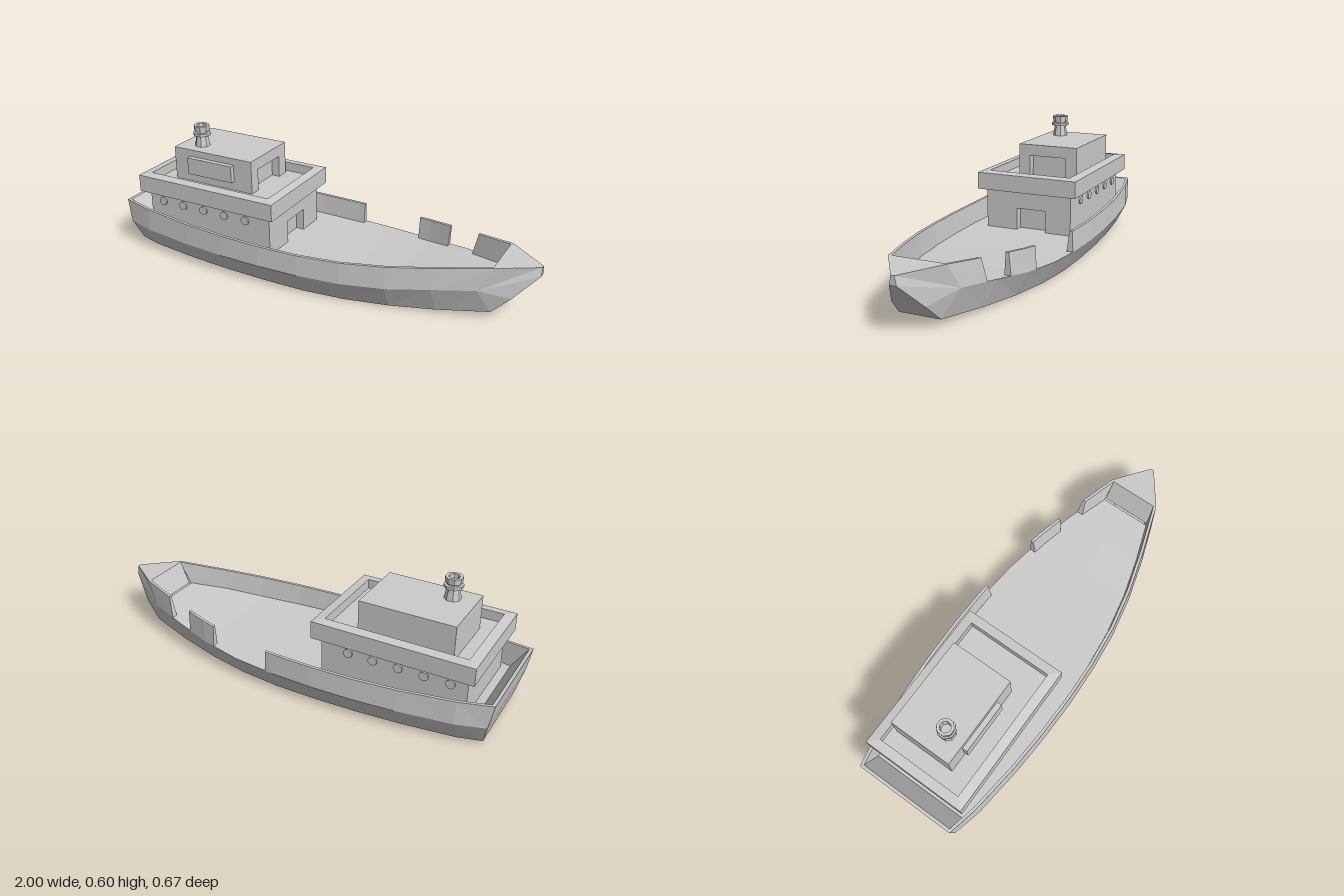
import * as THREE from 'three';

const mat = new THREE.MeshStandardMaterial({ color: 0xcccccc, flatShading: true, side: THREE.DoubleSide });

// Hull stations: top x, half width, y | knuckle x, half width, y | bottom x, half width, y
const STATIONS = [
  [-1, 0.25, 0.23, -0.98, 0.255, 0.12, -0.955, 0.21, 0.018],
  [-0.85, 0.282, 0.22, -0.85, 0.287, 0.113, -0.85, 0.235, 0.014],
  [-0.6, 0.311, 0.208, -0.6, 0.316, 0.107, -0.6, 0.26, 0.008],
  [-0.4, 0.324, 0.203, -0.4, 0.329, 0.104, -0.4, 0.272, 0.005],
  [-0.2, 0.328, 0.2, -0.2, 0.333, 0.103, -0.2, 0.275, 0.002],
  [0, 0.322, 0.2, 0, 0.327, 0.103, 0, 0.271, 0],
  [0.2, 0.303, 0.206, 0.2, 0.308, 0.106, 0.2, 0.252, 0.001],
  [0.4, 0.264, 0.219, 0.4, 0.27, 0.116, 0.4, 0.215, 0.006],
  [0.6, 0.207, 0.237, 0.59, 0.217, 0.137, 0.6, 0.165, 0.016],
  [0.83, 0.13, 0.26, 0.77, 0.155, 0.15, 0.82, 0.095, 0.03],
];

function stationAt(u) {
  let i = 0;
  while (i < STATIONS.length - 2 && u > STATIONS[i + 1][0]) i++;
  const a = STATIONS[i], b = STATIONS[i + 1], t = (u - a[0]) / (b[0] - a[0]);
  return a.map((v, k) => v + (b[k] - v) * t);
}

// Collects flat polygons into one faceted mesh
class Surface {
  constructor() { this.pos = []; }
  poly(pts, flip = false) {
    for (let i = 1; i < pts.length - 1; i++) {
      const tri = flip ? [pts[0], pts[i + 1], pts[i]] : [pts[0], pts[i], pts[i + 1]];
      this.pos.push(...tri.flat());
    }
  }
  strip(rows, flip = false) {
    for (let i = 0; i < rows.length - 1; i++)
      for (let j = 0; j < rows[i].length - 1; j++)
        this.poly([rows[i][j], rows[i][j + 1], rows[i + 1][j + 1], rows[i + 1][j]], flip);
  }
  mesh(name) {
    const g = new THREE.BufferGeometry();
    g.setAttribute('position', new THREE.Float32BufferAttribute(this.pos, 3));
    g.computeVertexNormals();
    return named(g, name);
  }
}

function named(geometry, name) {
  const m = new THREE.Mesh(geometry, mat);
  m.name = name;
  return m;
}

function box(name, x0, x1, y0, y1, z0, z1) {
  const g = new THREE.BoxGeometry(x1 - x0, y1 - y0, z1 - z0);
  g.translate((x0 + x1) / 2, (y0 + y1) / 2, (z0 + z1) / 2);
  return named(g, name);
}

// Block whose forward wall has a recessed doorway
function blockWithDoor(name, x0, x1, y0, y1, z0, z1, doorZ0, doorZ1, doorTop, depth) {
  const group = new THREE.Group();
  group.name = name;
  group.add(box(name + 'Body', x0, x1 - depth, y0, y1, z0, z1));
  const s = new THREE.Shape([
    [-z1, y0], [-doorZ1, y0], [-doorZ1, doorTop], [-doorZ0, doorTop],
    [-doorZ0, y0], [-z0, y0], [-z0, y1], [-z1, y1],
  ].map(p => new THREE.Vector2(...p)));
  const g = new THREE.ExtrudeGeometry(s, { depth, bevelEnabled: false });
  g.rotateY(Math.PI / 2).translate(x1 - depth, 0, 0);
  group.add(named(g, name + 'DoorWall'));
  return group;
}

// Bulwark along one side between two positions, with closed ends
function bulwark(name, side, x0, x1) {
  const us = [x0, ...STATIONS.map(s => s[0]).filter(x => x > x0 && x < x1), x1];
  const rows = us.map(u => {
    const [xt, wt, yt, xk, wk, yk] = stationAt(u);
    return [[xk, yk, side * wk], [xt, yt, side * wt],
      [xt, yt, side * (wt - 0.014)], [xk, yk, side * (wk - 0.03)]];
  });
  const s = new Surface();
  s.strip(rows, side > 0);
  s.poly(rows[0], side < 0);
  s.poly(rows.at(-1), side > 0);
  return s.mesh(name);
}

function createHull() {
  const hull = new THREE.Group();
  hull.name = 'hull';
  const lower = new Surface(), deck = new Surface(), bow = new Surface();
  for (const side of [1, -1]) {
    const flip = side > 0;
    lower.strip(STATIONS.map(([, , , xk, wk, yk, xb, wb, yb]) =>
      [[xb, yb, 0], [xb, yb, side * wb], [xk, yk, side * wk]]), flip);
    deck.strip(STATIONS.map(([, , , xk, wk, yk]) => [[xk, yk, side * wk], [xk, yk, 0]]), flip);
    // Faceted bow cheeks
    const K = [0.77, 0.15, side * 0.155], T = [0.83, 0.26, side * 0.13], B = [0.82, 0.03, side * 0.095];
    const S1 = [0.9, 0.105, side * 0.075], S2 = [1, 0.21, side * 0.016], S3 = [1, 0.25, side * 0.008];
    bow.poly([K, B, S1], !flip);
    bow.poly([K, S1, S2], !flip);
    bow.poly([K, S2, S3, T], !flip);
  }
  // Stem and bow cap, with the slope down to the deck behind it
  const across = pts => pts.map(([x, y, w]) => [[x, y, w], [x, y, -w]]);
  bow.strip(across([[0.78, 0.15, 0.122], [0.825, 0.26, 0.118], [0.83, 0.26, 0.13], [1, 0.25, 0.008],
    [1, 0.21, 0.016], [0.9, 0.105, 0.075], [0.82, 0.03, 0.095]]), true);
  // Raked transom with sloping inner face
  const stern = new Surface();
  stern.strip(across([[-0.955, 0.018, 0.21], [-0.98, 0.12, 0.255], [-1, 0.23, 0.25],
    [-0.985, 0.229, 0.24], [-0.91, 0.115, 0.25]]), true);
  hull.add(lower.mesh('lowerHull'), deck.mesh('deck'), bow.mesh('bow'), stern.mesh('transom'));
  // The right side has two gaps in its bulwark
  hull.add(bulwark('leftBulwark', 1, -1, 0.83));
  [[-1, 0.03], [0.34, 0.51], [0.66, 0.83]].forEach(([a, b], i) =>
    hull.add(bulwark('rightBulwark' + (i + 1), -1, a, b)));
  return hull;
}

// Overhanging parapet: rectangular rings from the inner floor over the rim to the underside
function createParapet() {
  const s = new Surface();
  const ring = ([inset, y]) => {
    const x0 = -0.908 + inset, x1 = -0.165 - inset, z = 0.255 - inset;
    return [[x0, y, z], [x1, y, z], [x1, y, -z], [x0, y, -z], [x0, y, z]];
  };
  s.strip([[0.045, 0.33], [0.045, 0.385], [0, 0.379], [0, 0.297], [0.045, 0.291]].map(ring), true);
  return s.mesh('parapet');
}

export function createModel() {
  const model = new THREE.Group();
  model.name = 'boat';
  model.add(createHull());

  // Superstructure
  model.add(blockWithDoor('deckhouse', -0.873, -0.2, 0.095, 0.34, -0.22, 0.22, -0.09, 0.06, 0.21, 0.04));
  model.add(createParapet());
  model.add(blockWithDoor('wheelhouse', -0.79, -0.355, 0.335, 0.5, -0.187, 0.117, -0.127, 0.06, 0.445, 0.04));
  model.add(box('sidePanel', -0.7, -0.453, 0.385, 0.467, 0.11, 0.141));

  // Portholes along both deckhouse sides
  for (const side of [1, -1]) for (let i = 0; i < 5; i++) {
    const g = new THREE.CylinderGeometry(0.021, 0.021, 0.014, 14);
    g.rotateX(Math.PI / 2).translate(-0.33 - 0.117 * i, 0.253, side * 0.22);
    model.add(named(g, 'porthole'));
  }

  // Eight-sided hollow funnel
  const profile = [[0.038, 0.497], [0.028, 0.552], [0.043, 0.553], [0.043, 0.567], [0.031, 0.568],
    [0.031, 0.574], [0.037, 0.575], [0.039, 0.602], [0.025, 0.602], [0.023, 0.56], [0, 0.56]];
  const funnel = named(new THREE.LatheGeometry(profile.map(p => new THREE.Vector2(...p)), 8, Math.PI / 8), 'funnel');
  funnel.position.set(-0.685, 0, 0.033);
  model.add(funnel);
  return model;
}
